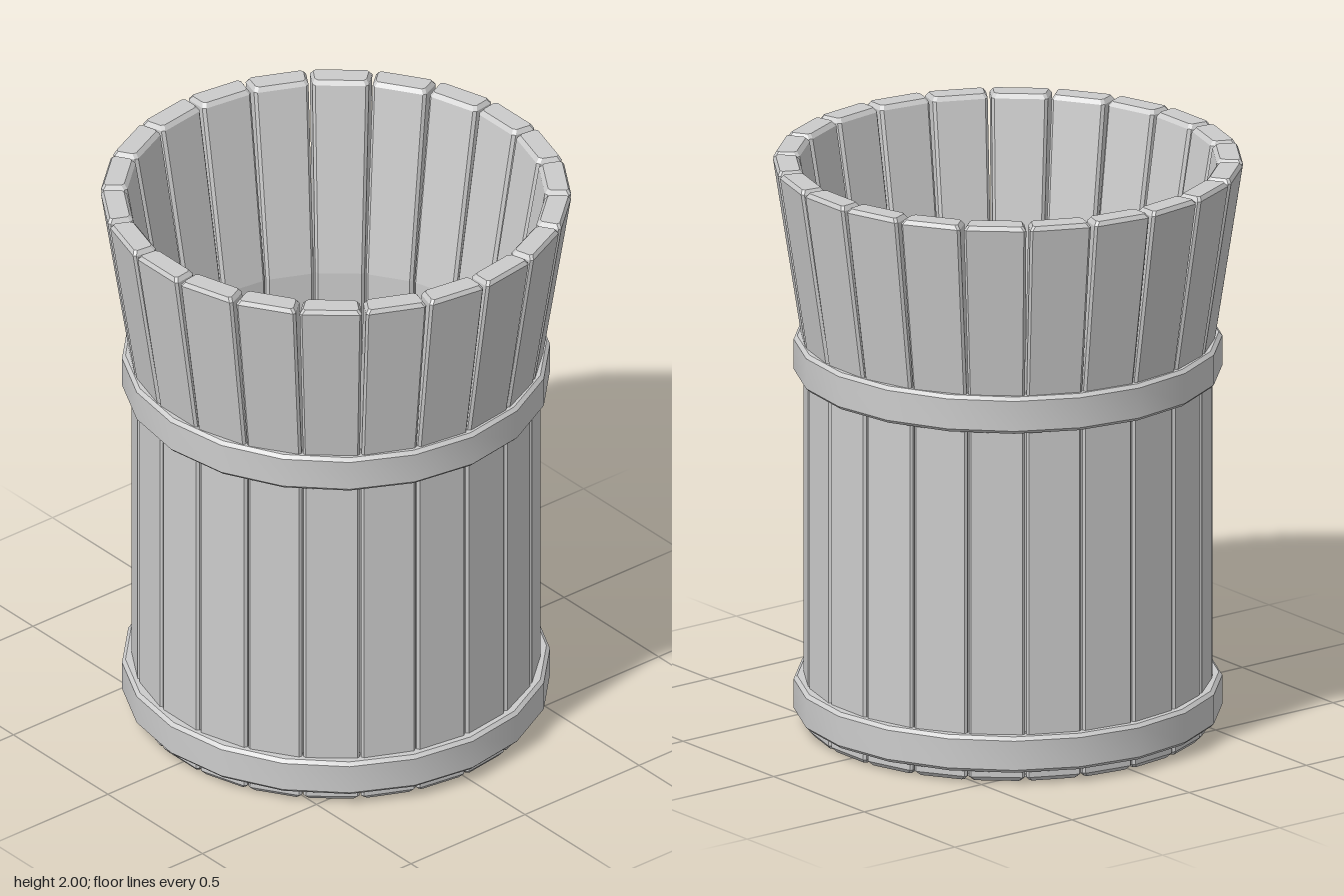
import * as THREE from 'three';
import { toCreasedNormals } from 'three/addons/utils/BufferGeometryUtils.js';

const STAVES = 22;
const STEP = (Math.PI * 2) / STAVES;

// One bevelled wedge plank, lofted through cross-sections [y, inner, outer, inset, gap]
function staveGeometry() {
  const levels = [
    [0.005, 0.59, 0.685, 0.012, 0.005],
    [0.02, 0.59, 0.685, 0, 0.005],
    [1.31, 0.59, 0.685, 0, 0.005],
    [1.985, 0.7, 0.788, 0, 0.013],
    [2, 0.702, 0.79, 0.01, 0.013],
  ];
  const b = 0.009; // edge bevel
  const n = 8;
  const pos = [];
  const index = [];
  for (const [y, r0, r1, inset, gap] of levels) {
    const inner = r0 + inset, outer = r1 - inset;
    const half = (r) => r * Math.tan(STEP / 2) - gap / 2 - inset;
    const section = [
      [half(inner) - b, inner], [half(inner + b), inner + b],
      [half(outer - b), outer - b], [half(outer) - b, outer],
    ];
    const mirrored = section.map(([x, z]) => [-x, z]).reverse();
    for (const [x, z] of [...section, ...mirrored]) pos.push(x, y, z);
  }
  for (let l = 0; l < levels.length - 1; l++) {
    for (let i = 0; i < n; i++) {
      const a = l * n + i, c = l * n + ((i + 1) % n);
      index.push(a, a + n, c, c, a + n, c + n);
    }
  }
  // End caps
  const top = (levels.length - 1) * n;
  for (let i = 1; i < n - 1; i++) {
    index.push(0, i, i + 1);
    index.push(top, top + i + 1, top + i);
  }
  const g = new THREE.BufferGeometry();
  g.setAttribute('position', new THREE.Float32BufferAttribute(pos, 3));
  g.setIndex(index);
  return toCreasedNormals(g, 0.1);
}

// Closed band with rounded rims
function hoopGeometry(y0, y1) {
  const r0 = 0.66, r1 = 0.724, b = 0.012;
  const profile = [
    [r0, y0], [r1 - b, y0], [r1, y0 + b], [r1, y1 - b], [r1 - b, y1], [r0, y1], [r0, y0],
  ].map(([x, y]) => new THREE.Vector2(x, y));
  return toCreasedNormals(new THREE.LatheGeometry(profile, 20), 0.6);
}

export function createModel() {
  const model = new THREE.Group();
  model.name = 'staveBucket';
  const material = new THREE.MeshStandardMaterial({ color: 0xcccccc });
  const add = (name, geometry, parent = model) => {
    const mesh = new THREE.Mesh(geometry, material);
    mesh.name = name;
    parent.add(mesh);
    return mesh;
  };

  // Ring of planks, flared above the upper hoop
  const wall = new THREE.Group();
  wall.name = 'wall';
  model.add(wall);
  const plank = staveGeometry();
  for (let i = 0; i < STAVES; i++) {
    add('stave', plank, wall).rotation.y = i * STEP;
  }

  // Hoops
  add('lowerHoop', hoopGeometry(0.045, 0.172));
  add('upperHoop', hoopGeometry(1.245, 1.375));

  // Floor disc
  add('floor', new THREE.CylinderGeometry(0.62, 0.62, 0.08, 44)).position.y = 0.04;

  return model;
}
